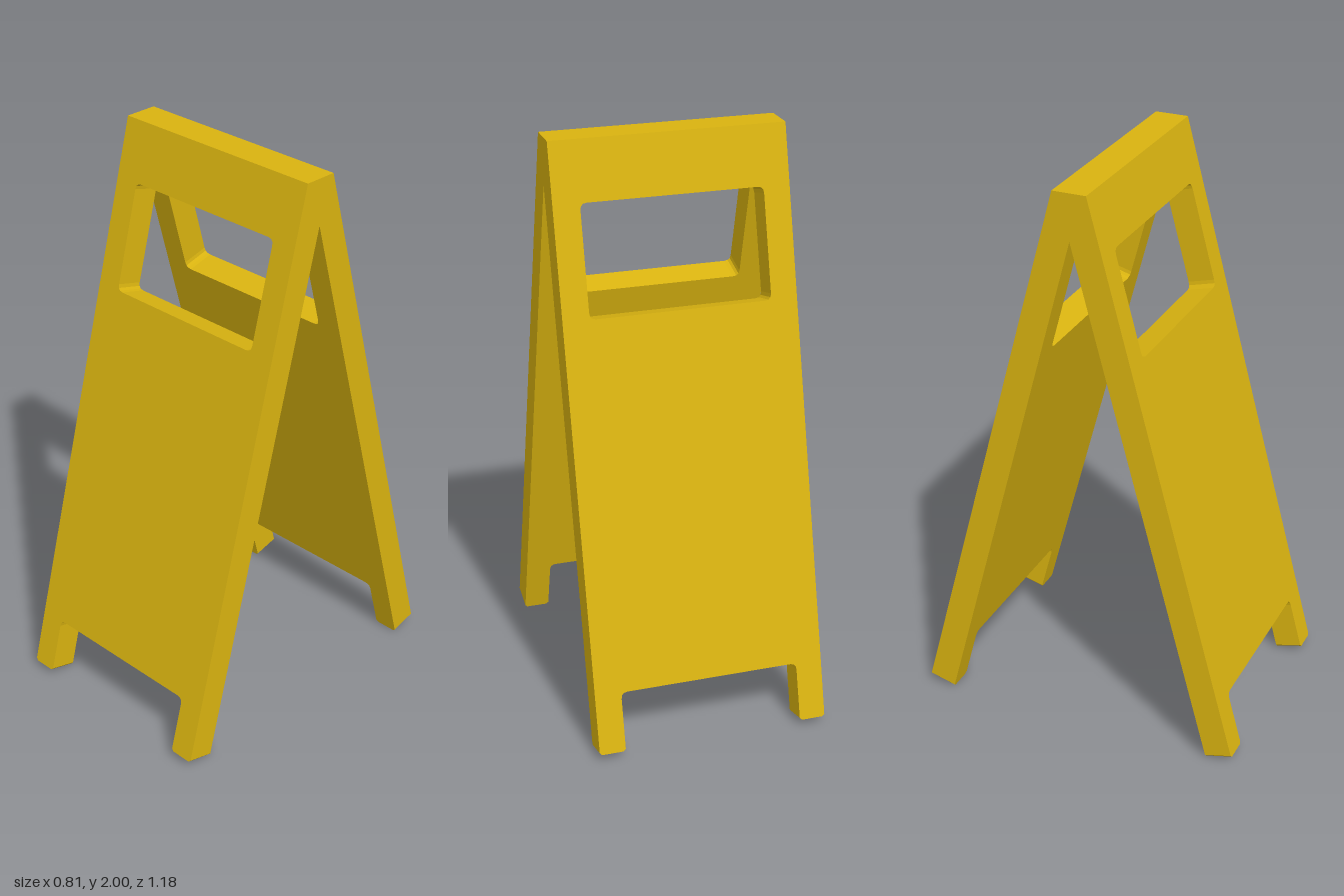
import * as THREE from 'three';

const TILT = 0.2628;       // lean of each panel from vertical
const THICK = 0.098;
const FOOT_Z = 0.495;      // inner bottom edge of a panel
const HALF_W = 0.404;
const INNER_W = 0.313;     // half width of the handle hole and foot cut-out
const R = 0.022;           // corner rounding

// Slope lengths at which the panel's two faces end at the ridge
const TOP_OUT = (2 - THICK * Math.sin(TILT)) / Math.cos(TILT);
const TOP_IN = FOOT_Z / Math.sin(TILT);

function roundedRect(path, w, y0, y1, r) {
  path.moveTo(-w + r, y0);
  path.lineTo(w - r, y0);
  path.quadraticCurveTo(w, y0, w, y0 + r);
  path.lineTo(w, y1 - r);
  path.quadraticCurveTo(w, y1, w - r, y1);
  path.lineTo(-w + r, y1);
  path.quadraticCurveTo(-w, y1, -w, y1 - r);
  path.lineTo(-w, y0 + r);
  path.quadraticCurveTo(-w, y0, -w + r, y0);
  return path;
}

function panelGeometry() {
  const c = 0.008, cut = 0.205;
  const s = new THREE.Shape();
  // Outline with two feet
  s.moveTo(-HALF_W + c, 0);
  s.lineTo(-INNER_W - c, 0);
  s.lineTo(-INNER_W, c);
  s.lineTo(-INNER_W, cut - R);
  s.quadraticCurveTo(-INNER_W, cut, -INNER_W + R, cut);
  s.lineTo(INNER_W - R, cut);
  s.quadraticCurveTo(INNER_W, cut, INNER_W, cut - R);
  s.lineTo(INNER_W, c);
  s.lineTo(INNER_W + c, 0);
  s.lineTo(HALF_W - c, 0);
  s.lineTo(HALF_W, c);
  s.lineTo(HALF_W, TOP_OUT);
  s.lineTo(-HALF_W, TOP_OUT);
  s.lineTo(-HALF_W, c);
  s.closePath();
  // Handle hole
  s.holes.push(roundedRect(new THREE.Path(), INNER_W, 1.463, 1.84, R));

  const g = new THREE.ExtrudeGeometry(s, { depth: THICK, bevelEnabled: false, curveSegments: 3 });
  // Mitre the top of the inner face so both panels meet at z = 0
  const p = g.attributes.position;
  for (let i = 0; i < p.count; i++) {
    if (p.getZ(i) < 0.001 && p.getY(i) > TOP_IN) p.setY(i, TOP_IN);
  }
  g.computeVertexNormals();
  return g;
}

export function createModel() {
  const model = new THREE.Group();
  model.name = 'foldingFloorSign';
  const yellow = new THREE.MeshStandardMaterial({ color: 0xd9b310 });

  // Two identical leaning panels
  const geo = panelGeometry();
  ['frontPanel', 'backPanel'].forEach((name, i) => {
    const side = new THREE.Group();
    side.name = name;
    const mesh = new THREE.Mesh(geo, yellow);
    mesh.name = name + 'Board';
    mesh.rotation.x = -TILT;
    mesh.position.z = FOOT_Z;
    side.add(mesh);
    side.rotation.y = i * Math.PI;
    model.add(side);
  });

  // Flat ridge wedge filling the joint between the panels
  const topZ = FOOT_Z + THICK * Math.cos(TILT) - TOP_OUT * Math.sin(TILT);
  const wedge = new THREE.Shape([
    new THREE.Vector2(-topZ, 2),
    new THREE.Vector2(0, TOP_IN * Math.cos(TILT)),
    new THREE.Vector2(topZ, 2),
  ]);
  const ridgeGeo = new THREE.ExtrudeGeometry(wedge, { depth: 2 * HALF_W, bevelEnabled: false });
  ridgeGeo.translate(0, 0, -HALF_W);
  ridgeGeo.rotateY(Math.PI / 2);
  const ridge = new THREE.Mesh(ridgeGeo, yellow);
  ridge.name = 'topRidge';
  model.add(ridge);

  return model;
}
